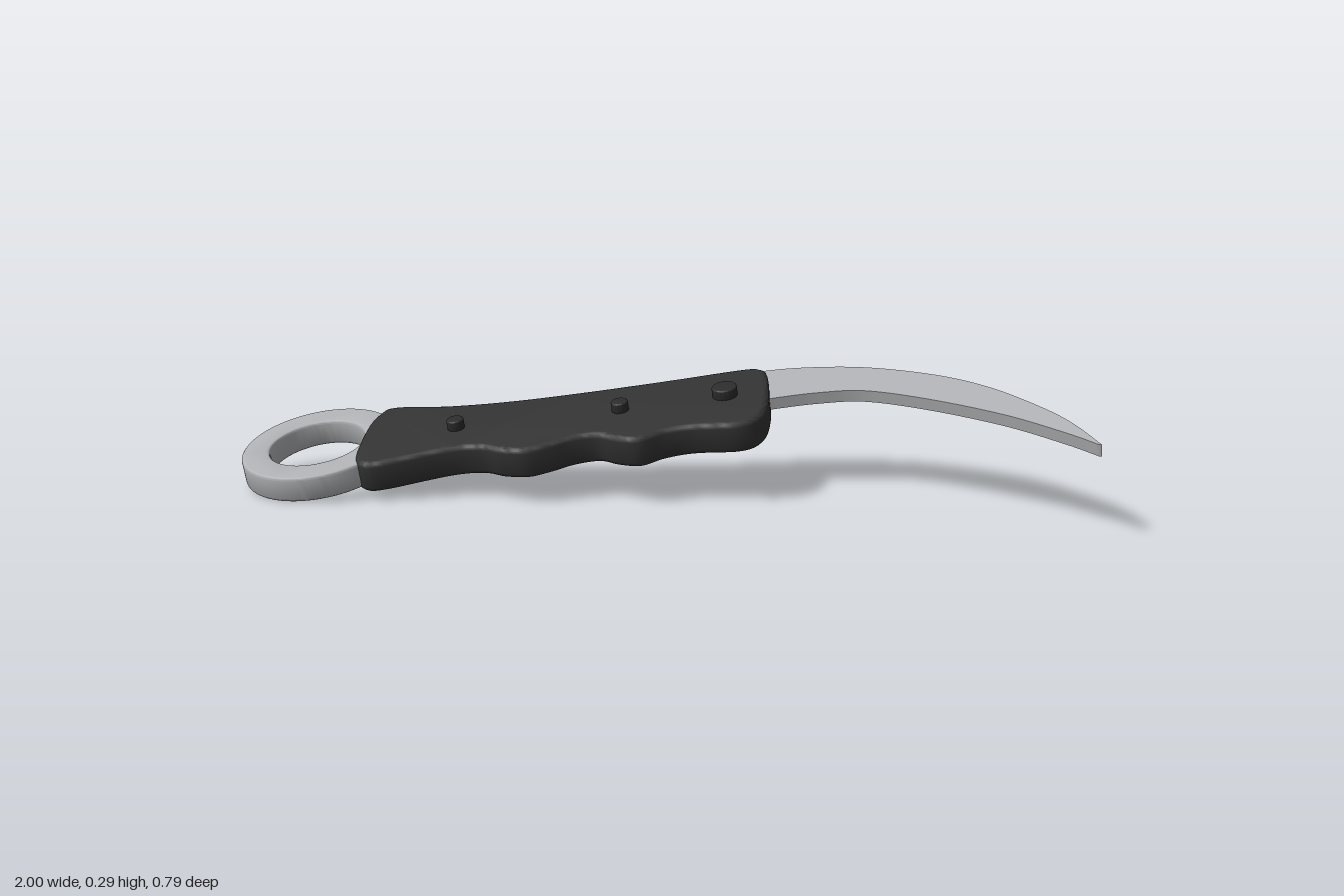
import * as THREE from 'three';
import { toCreasedNormals } from 'three/addons/utils/BufferGeometryUtils.js';

const steel = new THREE.MeshStandardMaterial({ color: 0xb0b1b4 });
steel.name = 'steel';
const grip = new THREE.MeshStandardMaterial({ color: 0x333333 });
grip.name = 'blackGrip';
const pin = new THREE.MeshStandardMaterial({ color: 0x2c2c2c });
pin.name = 'darkRivet';

// The knife lies in a tilted plane: (x, height, z) is mapped onto it
const n = new THREE.Vector3(-0.14, 1, 0.21).normalize();
const tilt = new THREE.Matrix4().makeBasis(
  new THREE.Vector3(1, 0.14, 0), n, new THREE.Vector3(0, -0.21, 1)).setPosition(0, 0.15, 0);

const points = (list) => list.map(([x, z]) => new THREE.Vector2(x, -z));

// Slab from a plan outline between heights low and high, with rounded rims
function slab(name, shape, low, high, bevel, material) {
  let g = new THREE.ExtrudeGeometry(shape, {
    depth: high - low - 2 * bevel, curveSegments: 48, bevelEnabled: bevel > 0,
    bevelSize: bevel, bevelThickness: bevel, bevelOffset: -bevel, bevelSegments: 3,
  });
  g.translate(0, 0, low + bevel).rotateX(-Math.PI / 2);
  g = toCreasedNormals(g, 0.6).applyMatrix4(tilt);
  const mesh = new THREE.Mesh(g, material);
  mesh.name = name;
  return mesh;
}

export function createModel() {
  const model = new THREE.Group();
  model.name = 'curvedKnife';

  // Finger ring at the butt
  const ring = new THREE.Shape().absarc(-0.805, 0.203, 0.192, 0, Math.PI * 2);
  ring.holes.push(new THREE.Path().absarc(-0.81, 0.203, 0.118, 0, Math.PI * 2, true));
  model.add(slab('fingerRing', ring, -0.032, 0.032, 0.007, steel));

  // Handle with finger grooves
  const outline = new THREE.SplineCurve(points([
    [-0.66, -0.315], [-0.64, -0.337], [-0.59, -0.333], [-0.48, -0.298], [-0.32, -0.272],
    [-0.13, -0.26], [0.08, -0.256], [0.26, -0.256], [0.305, -0.24], [0.317, -0.2],
    [0.303, -0.06], [0.275, 0.025], [0.22, 0.055], [0.11, 0.03], [0.04, 0.033],
    [-0.02, 0.054], [-0.075, 0.03], [-0.12, -0.005], [-0.18, -0.005], [-0.23, 0.012],
    [-0.29, 0.024], [-0.35, 0.002], [-0.40, -0.033], [-0.48, -0.045], [-0.64, -0.023],
    [-0.69, -0.037], [-0.705, -0.08], [-0.697, -0.18], [-0.68, -0.27], [-0.66, -0.315],
  ]));
  model.add(slab('handle', new THREE.Shape(outline.getPoints(160)), -0.041, 0.038, 0.013, grip));

  // Hooked blade: spine out to the tip, cutting edge back to the handle
  const spine = new THREE.SplineCurve(points([
    [0.17, -0.252], [0.27, -0.268], [0.40, -0.255], [0.56, -0.2], [0.72, -0.095],
    [0.83, 0.02], [0.92, 0.165], [0.967, 0.27], [1.0, 0.39],
  ])).getPoints(48);
  const edge = new THREE.SplineCurve(points([
    [0.993, 0.387], [0.94, 0.31], [0.83, 0.175], [0.68, 0.035], [0.54, -0.065],
    [0.43, -0.093], [0.32, -0.1], [0.17, -0.1],
  ])).getPoints(48);
  model.add(slab('blade', new THREE.Shape([...spine, ...edge]), -0.013, 0.017, 0, steel));

  // Rivets standing proud of the upper face
  for (const [x, z, r] of [[-0.46, -0.155, 0.021], [-0.055, -0.117, 0.021], [0.203, -0.113, 0.031]]) {
    const disc = new THREE.Shape().absarc(x, -z, r, 0, Math.PI * 2);
    model.add(slab('rivet', disc, 0.02, 0.063, 0.004, pin));
  }
  return model;
}
